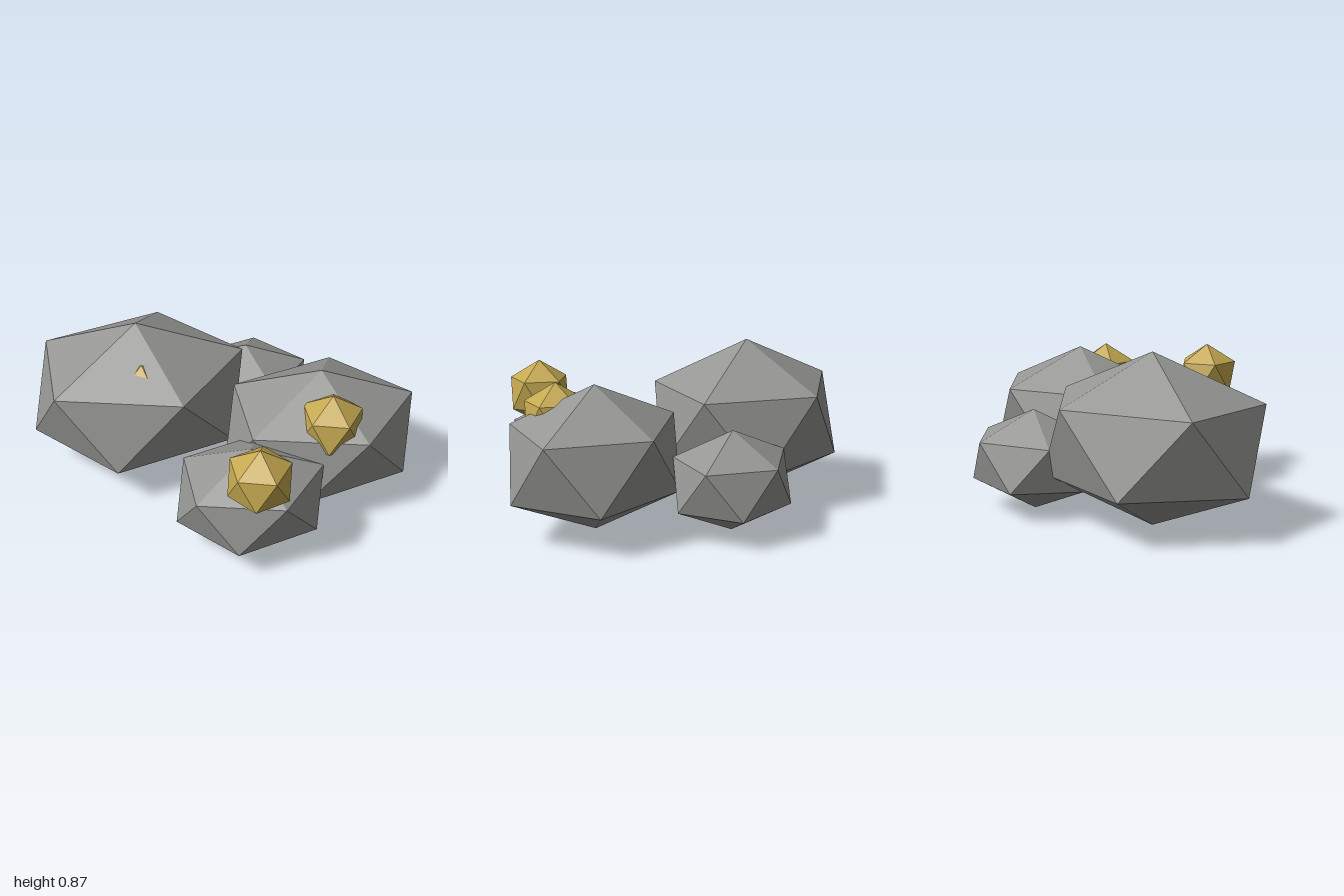
import * as THREE from 'three';

// Unit icosahedron standing on one corner, with an upper ring corner on +x
function createStoneGeometry() {
  const ringY = 1 / Math.sqrt(5), ringR = 2 / Math.sqrt(5);
  const corner = (turn, y) => {
    const a = turn * Math.PI * 2 / 5;
    return [ringR * Math.cos(a), y, ringR * Math.sin(a)];
  };
  const positions = [];
  for (let i = 0; i < 5; i++) {
    const u0 = corner(i, ringY), u1 = corner(i + 1, ringY);
    const l0 = corner(i + 0.5, -ringY), l1 = corner(i + 1.5, -ringY);
    positions.push(
      0, 1, 0, ...u1, ...u0, // cap
      ...u0, ...u1, ...l0, // waist
      ...l0, ...u1, ...l1,
      ...l0, ...l1, 0, -1, 0 // base
    );
  }
  const geometry = new THREE.BufferGeometry();
  geometry.setAttribute('position', new THREE.Float32BufferAttribute(positions, 3));
  geometry.computeVertexNormals();
  return geometry;
}

export function createModel() {
  const group = new THREE.Group();
  group.name = 'goldOreRocks';

  const stone = new THREE.MeshStandardMaterial({ color: 0x969694 });
  stone.name = 'grey stone';
  const gold = new THREE.MeshStandardMaterial({ color: 0xc4a850 });
  gold.name = 'gold';
  stone.flatShading = gold.flatShading = true;

  const geometry = createStoneGeometry();
  const add = (name, material, position, scale) => {
    const mesh = new THREE.Mesh(geometry, material);
    mesh.name = name;
    mesh.position.set(...position);
    mesh.scale.set(...scale);
    group.add(mesh);
  };

  // Boulders
  add('largeRock', stone, [-0.418, 0.44, -0.365], [0.652, 0.435, 0.547]);
  add('mediumRock', stone, [0.49, 0.386, 0.09], [0.57, 0.376, 0.47]);
  add('frontRock', stone, [0.04, 0.305, 0.455], [0.428, 0.29, 0.364]);
  add('backRock', stone, [0.222, 0.275, -0.546], [0.388, 0.26, 0.327]);

  // Gold nuggets, partly sunk into the boulders
  const nuggets = { frontNugget: [0.04, 0.67], sideNugget: [0.495, 0.31], buriedNugget: [-0.42, -0.142] };
  for (const [name, [x, z]] of Object.entries(nuggets)) {
    add(name, gold, [x, 0.575, z], [0.179, 0.179, 0.179]);
  }
  return group;
}
